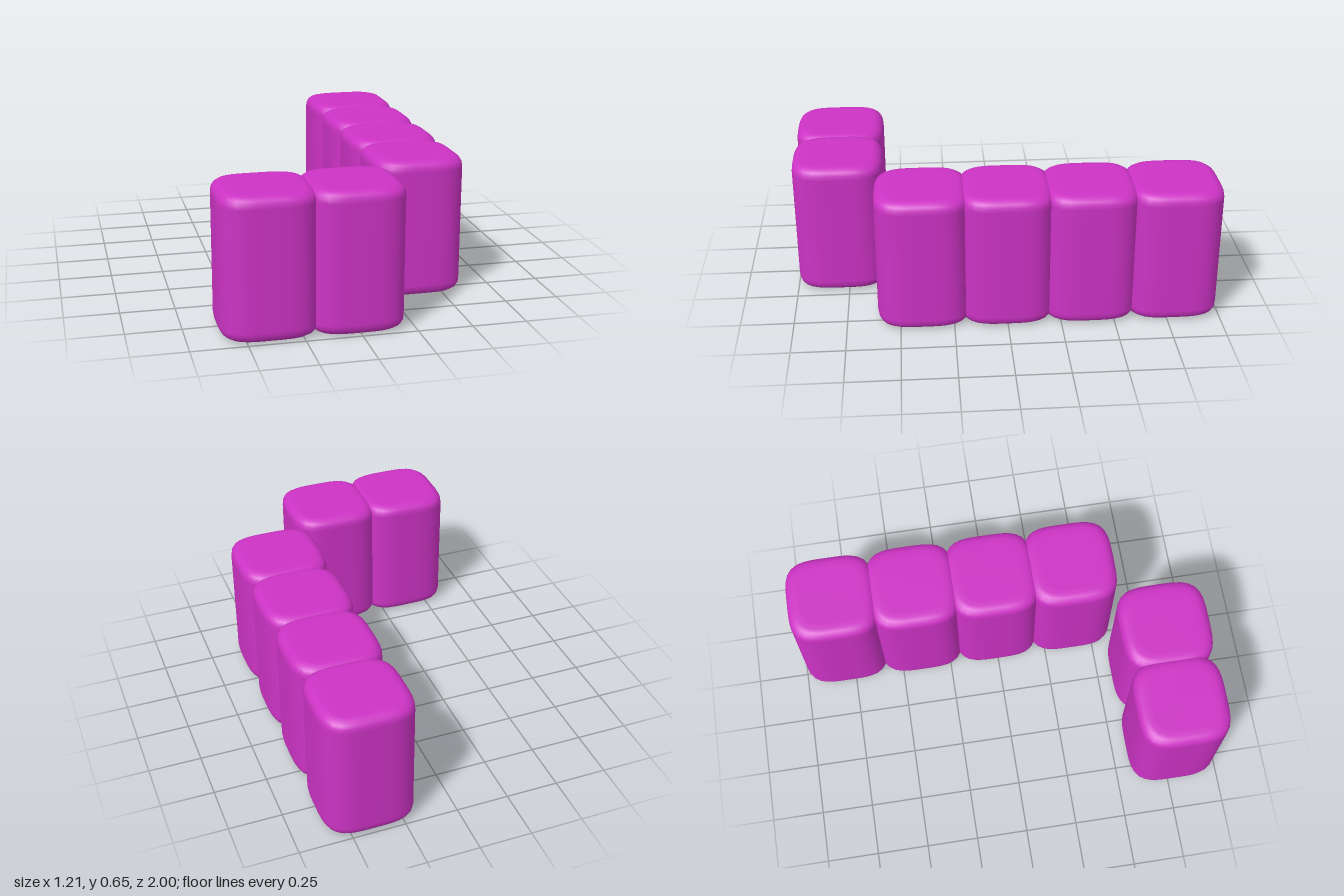
import * as THREE from 'three';
import { mergeVertices } from 'three/addons/utils/BufferGeometryUtils.js';

const HALF = 0.217, HEIGHT = 0.65, STEP = 0.39, SQUARENESS = 3.8;

// Pillow-edged block: a lathe whose round section is pushed out to a rounded square
function blockGeometry() {
  const rim = [[0, 0], [0.145, 0], [0.172, 0], [0.19, 0.005], [0.206, 0.017], [0.214, 0.032], [HALF, 0.052]];
  const profile = [
    ...rim.map(([r, y]) => new THREE.Vector2(r, y)),
    ...rim.map(([r, y]) => new THREE.Vector2(r, HEIGHT - y)).reverse(),
  ];
  const lathe = new THREE.LatheGeometry(profile, 48);
  const pos = lathe.attributes.position;
  for (let i = 0; i < pos.count; i++) {
    const x = pos.getX(i), z = pos.getZ(i), r = Math.hypot(x, z);
    if (r < 1e-6) continue;
    const k = (Math.abs(x / r) ** SQUARENESS + Math.abs(z / r) ** SQUARENESS) ** (-1 / SQUARENESS);
    pos.setX(i, x * k);
    pos.setZ(i, z * k);
  }
  // Weld the seam so the shading runs smoothly all round
  lathe.deleteAttribute('uv');
  lathe.deleteAttribute('normal');
  const geometry = mergeVertices(lathe, 1e-5);
  geometry.computeVertexNormals();
  return geometry;
}

export function createModel() {
  const model = new THREE.Group();
  model.name = 'blockWall';
  const geometry = blockGeometry();
  const material = new THREE.MeshStandardMaterial({ color: 0xcc33c4 });

  function addBlock(parent, name, x, z) {
    const block = new THREE.Mesh(geometry, material);
    block.name = name;
    block.position.set(x, 0, z);
    parent.add(block);
  }

  // Row of four running front to back on the left side
  const sideRow = new THREE.Group();
  sideRow.name = 'sideRow';
  for (let i = 0; i < 4; i++) addBlock(sideRow, `sideBlock${i + 1}`, STEP, (i - 2) * STEP - (i === 0 ? 0.003 : 0));

  // Pair side by side at the front
  const frontRow = new THREE.Group();
  frontRow.name = 'frontRow';
  for (let i = 0; i < 2; i++) addBlock(frontRow, `frontBlock${i + 1}`, (i - 1) * STEP, 2 * STEP + 0.003);

  model.add(sideRow, frontRow);
  return model;
}
